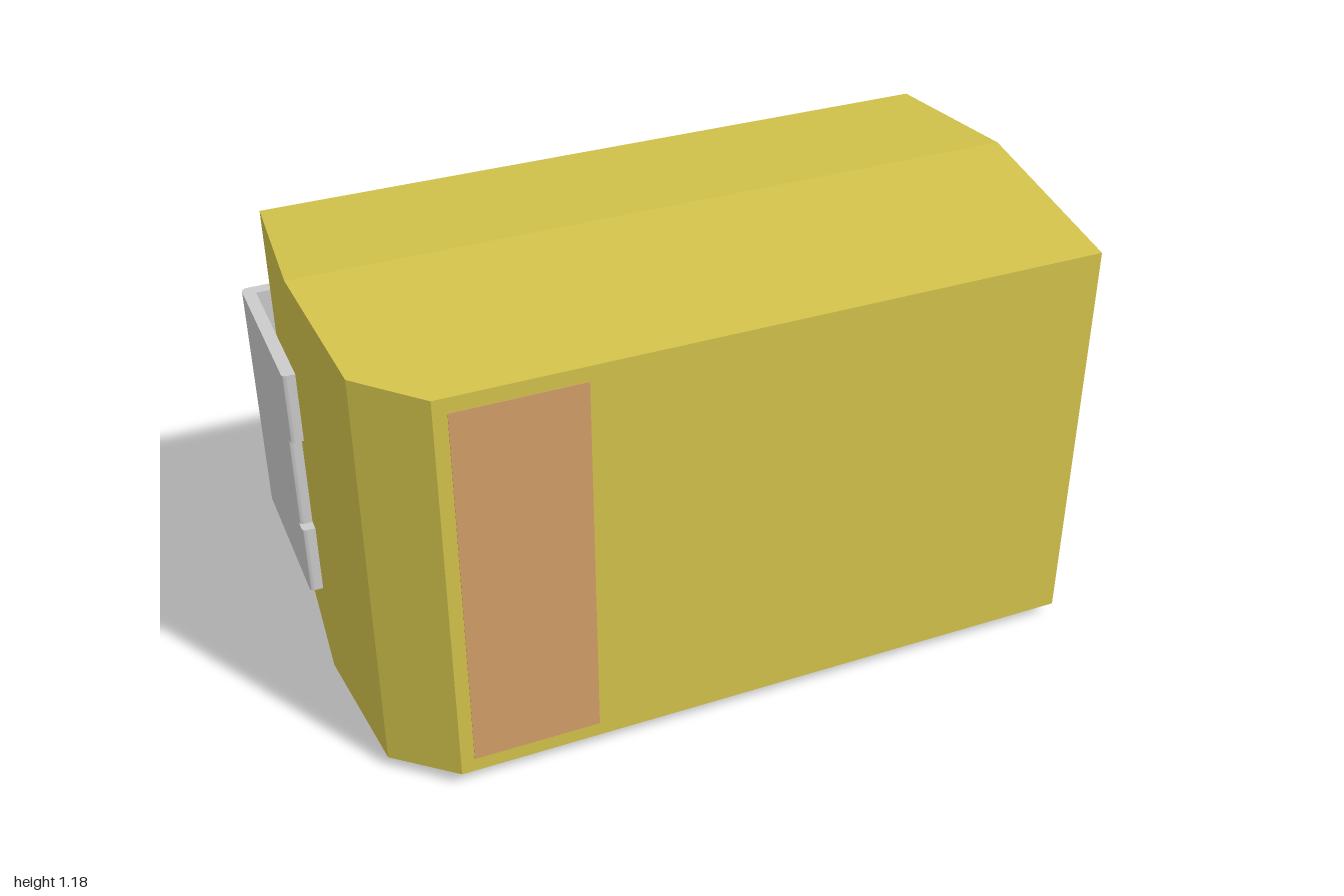
import * as THREE from 'three';
import { toCreasedNormals } from 'three/addons/utils/BufferGeometryUtils.js';

const BACK = -0.485, WAIST = -0.05, FRONT = 0.52, PAD = -0.52;

function mesh(name, geometry, material) {
  const m = new THREE.Mesh(geometry, material);
  m.name = name;
  return m;
}

// Box given by its limits on each axis
function block(x0, x1, y0, y1, z0, z1) {
  return new THREE.BoxGeometry(x1 - x0, y1 - y0, z1 - z0)
    .translate((x0 + x1) / 2, (y0 + y1) / 2, (z0 + z1) / 2);
}

// Moulded case: a plan outline whose height tapers away from the waist line
function caseGeometry() {
  const plan = [
    [-0.93, BACK], [-0.965, WAIST], [-0.935, 0.38], [-0.785, FRONT],
    [0.92, FRONT], [0.965, WAIST], [0.93, BACK],
  ];
  const inset = z => (z > WAIST
    ? 0.04 * (z - WAIST) / (FRONT - WAIST)
    : 0.03 * (WAIST - z) / (WAIST - BACK));
  const top = plan.map(([x, z]) => [x, 1.18 - inset(z), z]);
  const bottom = plan.map(([x, z]) => [x, inset(z), z]);
  const positions = [];
  const face = (...corners) => {
    for (let i = 1; i < corners.length - 1; i++) {
      positions.push(...corners[0], ...corners[i], ...corners[i + 1]);
    }
  };
  // side walls
  for (let i = 0; i < plan.length; i++) {
    const j = (i + 1) % plan.length;
    face(bottom[i], bottom[j], top[j], top[i]);
  }
  // two sloping panels above and below, meeting at the waist
  for (const panel of [[0, 1, 5, 6], [1, 2, 3, 4, 5]]) {
    face(...panel.map(i => top[i]));
    face(...panel.map(i => bottom[i]).reverse());
  }
  const g = new THREE.BufferGeometry();
  g.setAttribute('position', new THREE.Float32BufferAttribute(positions, 3));
  g.computeVertexNormals();
  return g;
}

// Bent metal strip, L-shaped in plan, running from y0 to y1
function terminalGeometry(side, y0, y1, tip) {
  const outer = 1, inner = 0.967, r = 0.02, e = 0.012;
  const s = new THREE.Shape();
  s.moveTo(side * 0.61, PAD);
  s.lineTo(side * (outer - r), PAD);
  s.quadraticCurveTo(side * outer, PAD, side * outer, PAD + r);
  s.lineTo(side * outer, tip - e);
  s.quadraticCurveTo(side * outer, tip, side * (outer - e), tip);
  s.lineTo(side * inner, tip);
  s.lineTo(side * inner, BACK);
  s.lineTo(side * 0.61, BACK);
  s.closePath();
  const g = new THREE.ExtrudeGeometry(s, { depth: y1 - y0, bevelEnabled: false, curveSegments: 6 });
  g.rotateX(Math.PI / 2).translate(0, y1, 0);
  return toCreasedNormals(g, 0.6);
}

export function createModel() {
  const model = new THREE.Group();
  model.name = 'chipCapacitor';
  const yellow = new THREE.MeshStandardMaterial({ color: 0xd2c24b });
  const salmon = new THREE.MeshStandardMaterial({ color: 0xd29f68 });
  const metal = new THREE.MeshStandardMaterial({ color: 0xcccccc });

  model.add(mesh('case', caseGeometry(), yellow));
  model.add(mesh('backPad', block(-0.48, 0.475, 0.11, 1.07, PAD, BACK + 0.01), yellow));
  model.add(mesh('polarityBand', block(-0.75, -0.42, 0.08, 1.1, FRONT - 0.01, FRONT + 0.002), salmon));

  // plain terminal on the left
  model.add(mesh('leftTerminal', terminalGeometry(1, 0.26, 0.92, -0.055), metal));

  // right terminal with a shallow notch in the middle of its front edge
  const right = new THREE.Group();
  right.name = 'rightTerminal';
  right.add(mesh('terminalLower', terminalGeometry(-1, 0.26, 0.455, -0.055), metal));
  right.add(mesh('terminalNotch', terminalGeometry(-1, 0.455, 0.725, -0.085), metal));
  right.add(mesh('terminalUpper', terminalGeometry(-1, 0.725, 0.92, -0.055), metal));
  model.add(right);

  return model;
}
